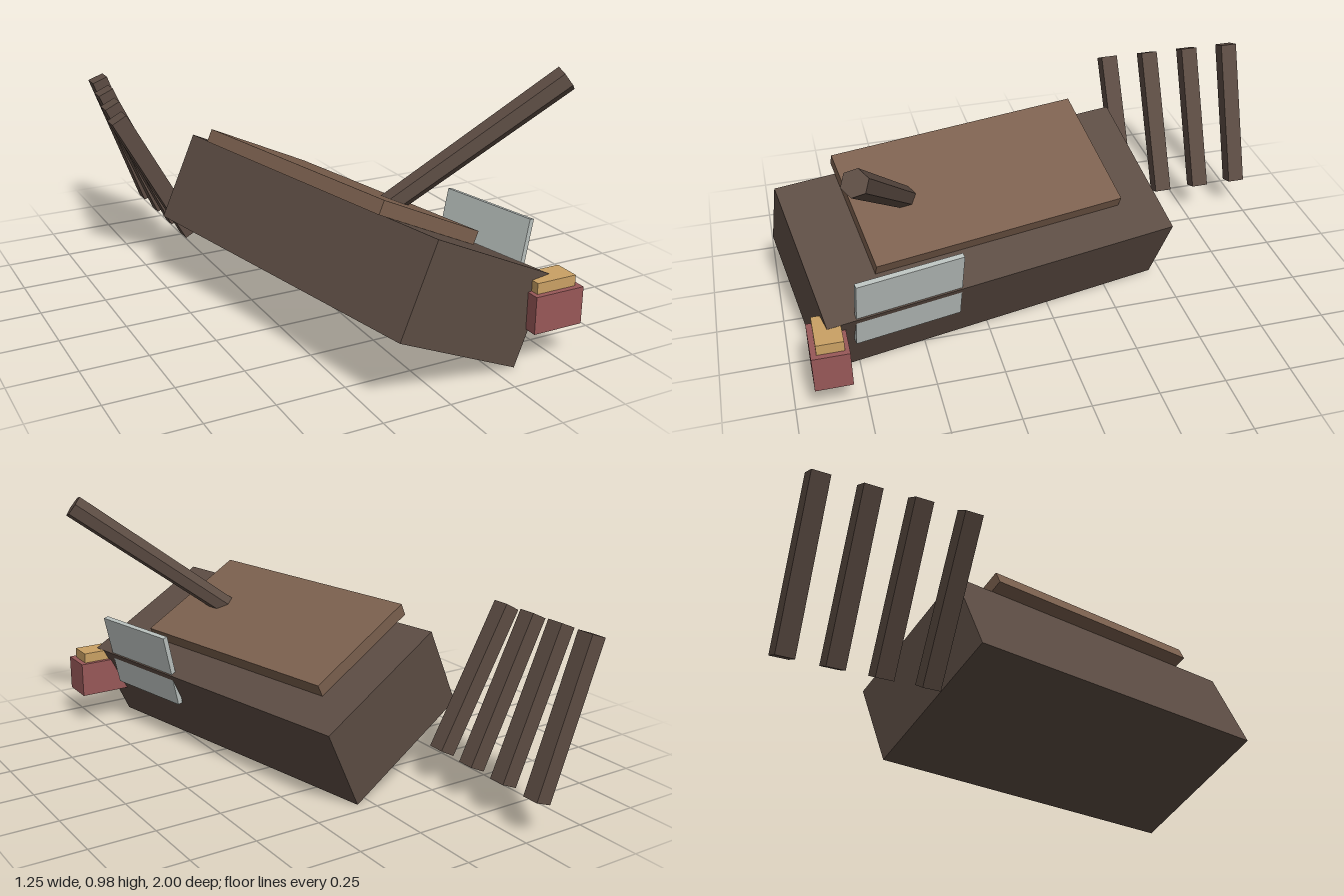
import * as THREE from 'three';

const paint = (name, color) => {
  const m = new THREE.MeshStandardMaterial({ color, flatShading: true });
  m.name = name;
  return m;
};

export function createModel() {
  const model = new THREE.Group();
  const darkWood = paint('dark wood', 0x5c4c43);
  const lightWood = paint('light wood', 0x7b604e);
  const metal = paint('pale metal', 0xb9c0bd);
  const red = paint('faded red', 0x985858);
  const tan = paint('tan', 0xcaa164);

  const add = (parent, name, geometry, material, x, y, z) => {
    const mesh = new THREE.Mesh(geometry, material);
    mesh.name = name;
    mesh.position.set(x, y, z);
    parent.add(mesh);
    return mesh;
  };
  const box = (parent, name, size, material, x, y, z) =>
    add(parent, name, new THREE.BoxGeometry(...size), material, x, y, z);

  // Listing hull with a deck board that overhangs its raised side
  const wreck = new THREE.Group();
  wreck.name = 'wreck';
  wreck.position.set(0.003, 0.285, 0.255);
  wreck.rotation.set(0, 0.2, -0.455, 'YXZ');
  model.add(wreck);
  box(wreck, 'hull', [0.592, 0.341, 1.373], darkWood, 0, 0, 0);
  box(wreck, 'deck', [0.49, 0.05, 0.98], lightWood, -0.1, 0.196, -0.03);

  // Six-sided leaning mast, rooted inside the hull
  const foot = new THREE.Vector3(-0.05, 0.437, 0.47);
  const tip = new THREE.Vector3(0.595, 0.947, 0.73);
  const along = tip.clone().sub(foot);
  const mast = add(model, 'mast', new THREE.CylinderGeometry(0.047, 0.041, along.length(), 6),
    darkWood, ...foot.clone().add(tip).multiplyScalar(0.5).toArray());
  mast.quaternion.setFromUnitVectors(new THREE.Vector3(0, 1, 0), along.normalize());

  // Metal plate leaning on the hull's upper edge
  const plate = box(model, 'sidePlate', [0.02, 0.295, 0.395], metal, 0.401, 0.325, 0.565);
  plate.rotation.set(0, 0.2, -0.22, 'YXZ');

  // Small chest with its lid
  box(model, 'chest', [0.195, 0.137, 0.132], red, 0.472, 0.199, 0.862);
  box(model, 'chestLid', [0.158, 0.04, 0.096], tan, 0.47, 0.287, 0.86);

  // Row of broken ribs behind the hull, each a little more upright
  for (let i = 0; i < 4; i++) {
    const rib = box(model, 'rib' + (i + 1), [0.066, 0.59, 0.066], darkWood,
      -0.457 + i * 0.0133, 0.39 + i * 0.005, -0.469 - i * 0.167);
    rib.rotation.z = 0.5 - i * 0.05;
  }

  return model;
}
